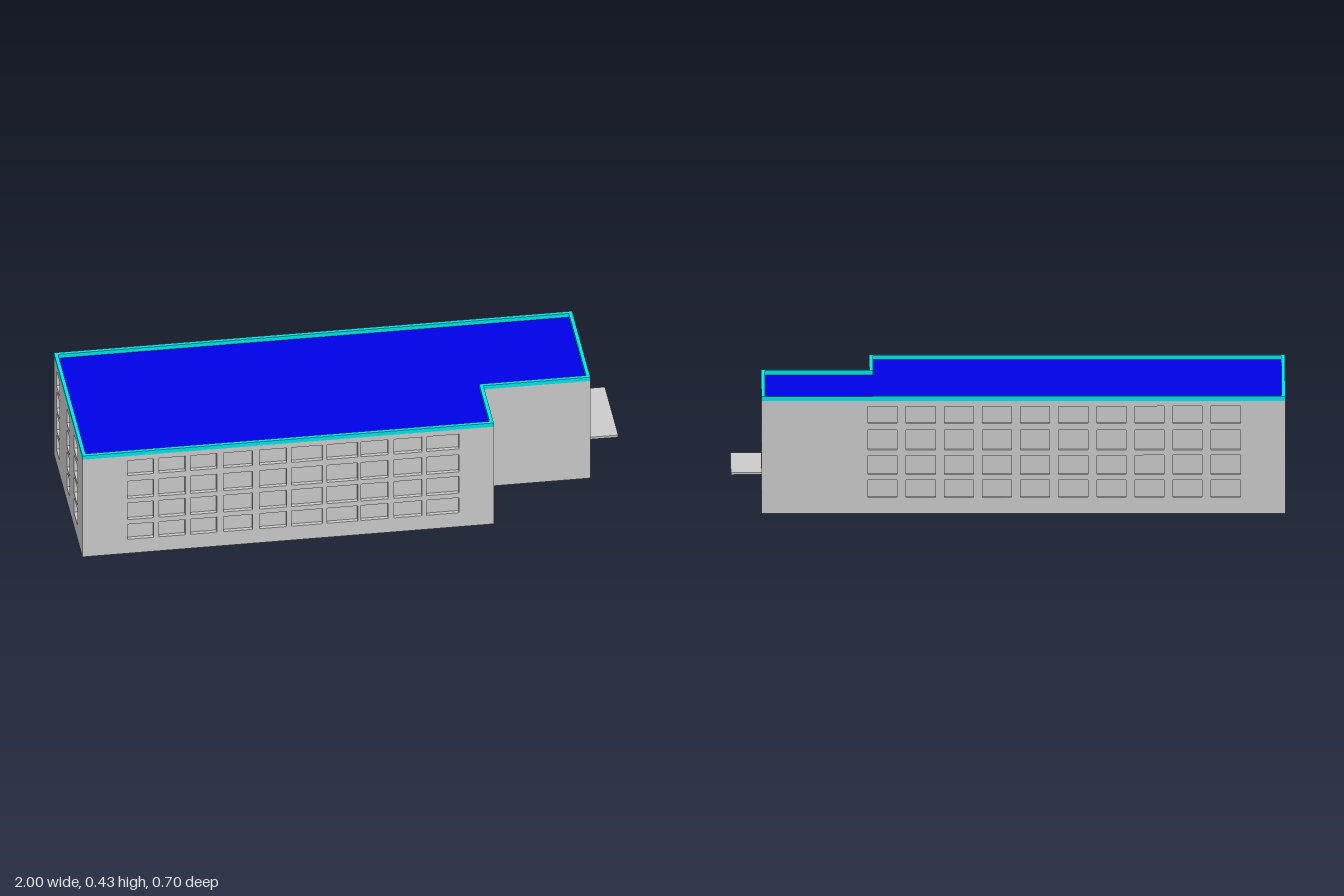
import * as THREE from 'three';

const WALL_TOP = 0.416, TOP = 0.432, RECESS = 0.015, RIM = 0.014;
const grey = new THREE.MeshStandardMaterial({ color: 0xcccccc, side: THREE.DoubleSide, flatShading: true });
const blue = new THREE.MeshStandardMaterial({ color: 0x0000e6, side: THREE.DoubleSide });
const cyan = new THREE.MeshStandardMaterial({ color: 0x00e5e8 });

// L-shaped plan as [x, z], running anticlockwise seen from above
const plan = [[-1, 0.35], [0.5, 0.35], [0.5, 0.098], [0.89, 0.098], [0.89, -0.35], [-1, -0.35]];
const rows = [[0.06, 0.124], [0.144, 0.215], [0.235, 0.308], [0.333, 0.396]];

function mesh(name, geometry, material) {
  const m = new THREE.Mesh(geometry, material);
  m.name = name;
  return m;
}

function planPoints(inset = 0) {
  // every outer corner moves inward; the step corner follows its walls
  const n = plan.length;
  return plan.map(([x, z], i) => {
    const [px, pz] = plan[(i + n - 1) % n], [nx, nz] = plan[(i + 1) % n];
    const dx = Math.sign(x - px) || Math.sign(nx - x), dz = Math.sign(z - pz) || Math.sign(nz - z);
    return new THREE.Vector2(x + dz * inset, -(z - dx * inset));
  });
}

// horizontal sheet with the plan's outline
function slab(name, y, material) {
  const m = mesh(name, new THREE.ShapeGeometry(new THREE.Shape(planPoints(0.001))).rotateX(-Math.PI / 2), material);
  m.position.y = y;
  return m;
}

function rectPath(u0, u1, v0, v1) {
  return new THREE.Path([[u0, v0], [u1, v0], [u1, v1], [u0, v1]].map(p => new THREE.Vector2(...p)));
}

// open-fronted box set into the wall
function recess(name, [u0, u1, v0, v1], depth) {
  const g = new THREE.BoxGeometry(u1 - u0, v1 - v0, depth);
  const index = Array.from(g.index.array);
  index.splice(24, 6);                    // no front face
  if (v0 === 0) index.splice(18, 6);      // no threshold under a doorway
  g.setIndex(index);
  g.clearGroups();
  g.translate((u0 + u1) / 2, (v0 + v1) / 2, -depth / 2);
  return mesh(name, g, grey);
}

// wall from a to b, with openings [u0, u1, v0, v1] measured along it
function wall(name, a, b, windows = [], door = null) {
  const group = new THREE.Group();
  group.name = name;
  const dx = b[0] - a[0], dz = b[1] - a[1], len = Math.hypot(dx, dz);
  const pts = [[0, 0], [len, 0], [len, WALL_TOP], [0, WALL_TOP]];
  if (door) pts.splice(1, 0, [door[0], 0], [door[0], door[3]], [door[1], door[3]], [door[1], 0]);
  const shape = new THREE.Shape(pts.map(p => new THREE.Vector2(...p)));
  shape.holes = windows.map(w => rectPath(...w));
  group.add(mesh(name + 'Face', new THREE.ShapeGeometry(shape), grey));
  windows.forEach(w => group.add(recess('window', w, RECESS)));
  if (door) group.add(recess('entrance', door, 0.04));
  group.position.set(a[0], 0, a[1]);
  group.rotation.y = Math.atan2(-dz, dx);
  return group;
}

// one window per column and row
const grid = (columns, levels) => columns.flatMap(c => levels.map(r => [...c, ...r]));

export function createModel() {
  const model = new THREE.Group();
  model.name = 'building';

  // window columns along each wall
  const front = [[-0.835, -0.74], [-0.72, -0.625], [-0.605, -0.51], [-0.485, -0.38], [-0.355, -0.255],
    [-0.238, -0.125], [-0.108, 0.004], [0.015, 0.115], [0.136, 0.238], [0.255, 0.373]].map(c => c.map(x => x + 1));
  const back = Array.from({ length: 10 }, (_, i) => [0.385 + i * 0.1375, 0.49 + i * 0.1375]);
  const step = [[0.35 - 0.227, 0.35 - 0.14]];
  const right = [[0.098 - 0.04, 0.098 + 0.032], [0.098 + 0.207, 0.098 + 0.285]];
  const left = [[-0.285, -0.207], [-0.032, 0.04], [0.14, 0.227]].map(c => c.map(z => z + 0.35));

  model.add(
    wall('frontWall', plan[0], plan[1], grid(front, rows)),
    wall('stepSideWall', plan[1], plan[2], grid(step, rows)),
    wall('stepFrontWall', plan[2], plan[3]),
    wall('entranceWall', plan[3], plan[4], grid(right, rows.slice(1)), [0.058, 0.383, 0, 0.124]),
    wall('backWall', plan[4], plan[5], grid(back, rows)),
    wall('leftWall', plan[5], plan[0], grid(left, rows)),
    slab('floorSlab', 0.13, grey),
    slab('roof', WALL_TOP, blue)
  );

  // parapet around the roof
  const rim = new THREE.Shape(planPoints());
  rim.holes.push(new THREE.Path(planPoints(RIM)));
  const parapet = mesh('parapet', new THREE.ExtrudeGeometry(rim, { depth: TOP - WALL_TOP, bevelEnabled: false })
    .rotateX(-Math.PI / 2), cyan);
  parapet.position.y = WALL_TOP;
  model.add(parapet);

  // canopy over the entrance
  const canopy = mesh('canopy', new THREE.BoxGeometry(0.11, 0.009, 0.326), grey);
  canopy.position.set(0.945, 0.1335, -0.122);
  model.add(canopy);
  return model;
}
